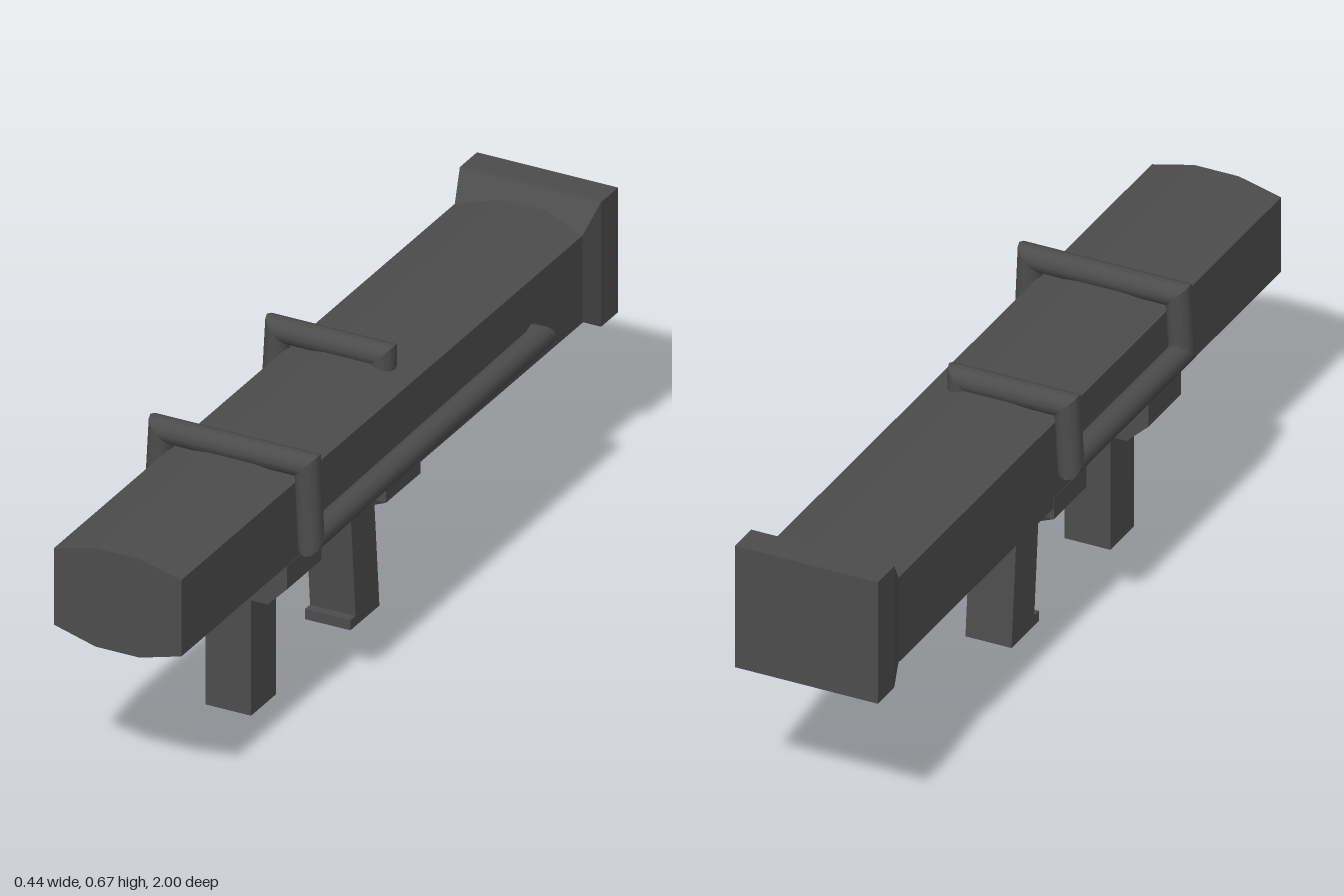
import * as THREE from 'three';

const flat = new THREE.MeshStandardMaterial({ color: 0x4c4c4c, flatShading: true });
const smooth = new THREE.MeshStandardMaterial({ color: 0x4c4c4c });

// Closed solid through matching convex loops of [x, y, z] points
function loft(name, sections) {
  const n = sections[0].length, last = (sections.length - 1) * n, index = [];
  for (let s = 0; s < last; s += n) {
    for (let i = 0; i < n; i++) {
      const a = s + i, b = s + (i + 1) % n;
      index.push(a, b, b + n, a, b + n, a + n);
    }
  }
  for (let i = 1; i < n - 1; i++) {
    index.push(0, i + 1, i, last, last + i, last + i + 1);
  }
  const geo = new THREE.BufferGeometry();
  geo.setAttribute('position', new THREE.Float32BufferAttribute(sections.flat(2), 3));
  geo.setIndex(index);
  const flatGeo = geo.toNonIndexed();
  flatGeo.computeVertexNormals();
  const mesh = new THREE.Mesh(flatGeo, flat);
  mesh.name = name;
  return mesh;
}

// Loop across the length, from [x, y] points, and loop across the height
const atZ = (z, pts) => pts.map(([x, y]) => [x, y, z]);
const rectZ = (z, hx, y0, y1) => atZ(z, [[-hx, y0], [hx, y0], [hx, y1], [-hx, y1]]);
const rectY = (y, hx, z0, z1) => [[-hx, y, z1], [hx, y, z1], [hx, y, z0], [-hx, y, z0]];
const prism = (name, z0, z1, pts) => loft(name, [atZ(z0, pts), atZ(z1, pts)]);

// Round pipe with mitred corners
function pipe(name, points, radius) {
  const group = new THREE.Group();
  group.name = name;
  const p = points.map(a => new THREE.Vector3(...a));
  const dirs = p.slice(1).map((q, i) => q.clone().sub(p[i]).normalize());
  dirs.forEach((d, i) => {
    const length = p[i].distanceTo(p[i + 1]);
    const geo = new THREE.CylinderGeometry(radius, radius, length, 12);
    geo.applyQuaternion(new THREE.Quaternion().setFromUnitVectors(new THREE.Vector3(0, 1, 0), d));
    const mid = p[i].clone().add(p[i + 1]).multiplyScalar(0.5);
    geo.translate(mid.x, mid.y, mid.z);
    const pos = geo.attributes.position, v = new THREE.Vector3();
    for (let k = 0; k < pos.count; k++) {
      v.fromBufferAttribute(pos, k);
      const atEnd = v.clone().sub(mid).dot(d) > 0;
      const other = dirs[atEnd ? i + 1 : i - 1];
      if (!other) continue;
      // slide each end vertex along the pipe onto the mitre plane
      const normal = d.clone().add(other);
      const corner = atEnd ? p[i + 1] : p[i];
      v.addScaledVector(d, corner.clone().sub(v).dot(normal) / d.dot(normal));
      pos.setXYZ(k, v.x, v.y, v.z);
    }
    const mesh = new THREE.Mesh(geo, smooth);
    mesh.name = name + 'Segment';
    group.add(mesh);
  });
  return group;
}

export function createModel() {
  const model = new THREE.Group();
  model.name = 'shoulderLauncher';

  // Long eight-sided barrel, squared off underneath at the rear
  model.add(prism('barrel', -0.9, 1, [
    [-0.055, 0.381], [0.055, 0.381], [0.16, 0.41], [0.16, 0.6],
    [0.055, 0.626], [-0.055, 0.626], [-0.16, 0.6], [-0.16, 0.41],
  ]));
  model.add(loft('rearUnderside', [rectZ(-0.9, 0.16, 0.383, 0.5), rectZ(-0.1, 0.16, 0.383, 0.5)]));

  // Flared rear end
  model.add(loft('rearFlare', [
    rectZ(-1, 0.177, 0.352, 0.662),
    rectZ(-0.92, 0.177, 0.352, 0.662),
    rectZ(-0.865, 0.16, 0.385, 0.6),
  ]));

  // Chamfered mounts below the barrel
  model.add(prism('frontGripMount', 0.35, 0.51, [
    [-0.107, 0.302], [0.112, 0.302], [0.161, 0.352], [0.161, 0.41], [-0.161, 0.41], [-0.161, 0.352],
  ]));
  model.add(prism('undersidePlate', 0.04, 0.36, [
    [-0.107, 0.356], [0.107, 0.356], [0.159, 0.41], [-0.159, 0.41],
  ]));
  model.add(loft('rearGripMount', [
    rectY(0.302, 0.057, -0.085, 0.023),
    rectY(0.356, 0.161, -0.11, 0.05),
    rectY(0.41, 0.161, -0.11, 0.05),
  ]));

  // Grips
  model.add(loft('frontGrip', [rectY(0, 0.057, 0.37, 0.485), rectY(0.31, 0.057, 0.37, 0.485)]));
  model.add(loft('rearGrip', [rectY(0, 0.057, -0.112, -0.003), rectY(0.305, 0.057, -0.085, 0.023)]));
  model.add(loft('rearGripLip', [rectY(0, 0.057, -0.05, 0.023), rectY(0.025, 0.057, -0.05, 0.023)]));

  // One bent guard rail running over and along the barrel
  model.add(pipe('guardRail', [
    [0.08, 0.59, -0.087], [0.08, 0.642, -0.087], [-0.183, 0.642, -0.087], [-0.191, 0.497, -0.087],
    [-0.191, 0.497, 0.455], [-0.183, 0.642, 0.455], [0.183, 0.642, 0.455],
    [0.191, 0.459, 0.455], [0.178, 0.459, -0.625], [0.12, 0.459, -0.625],
  ], 0.03));

  return model;
}
